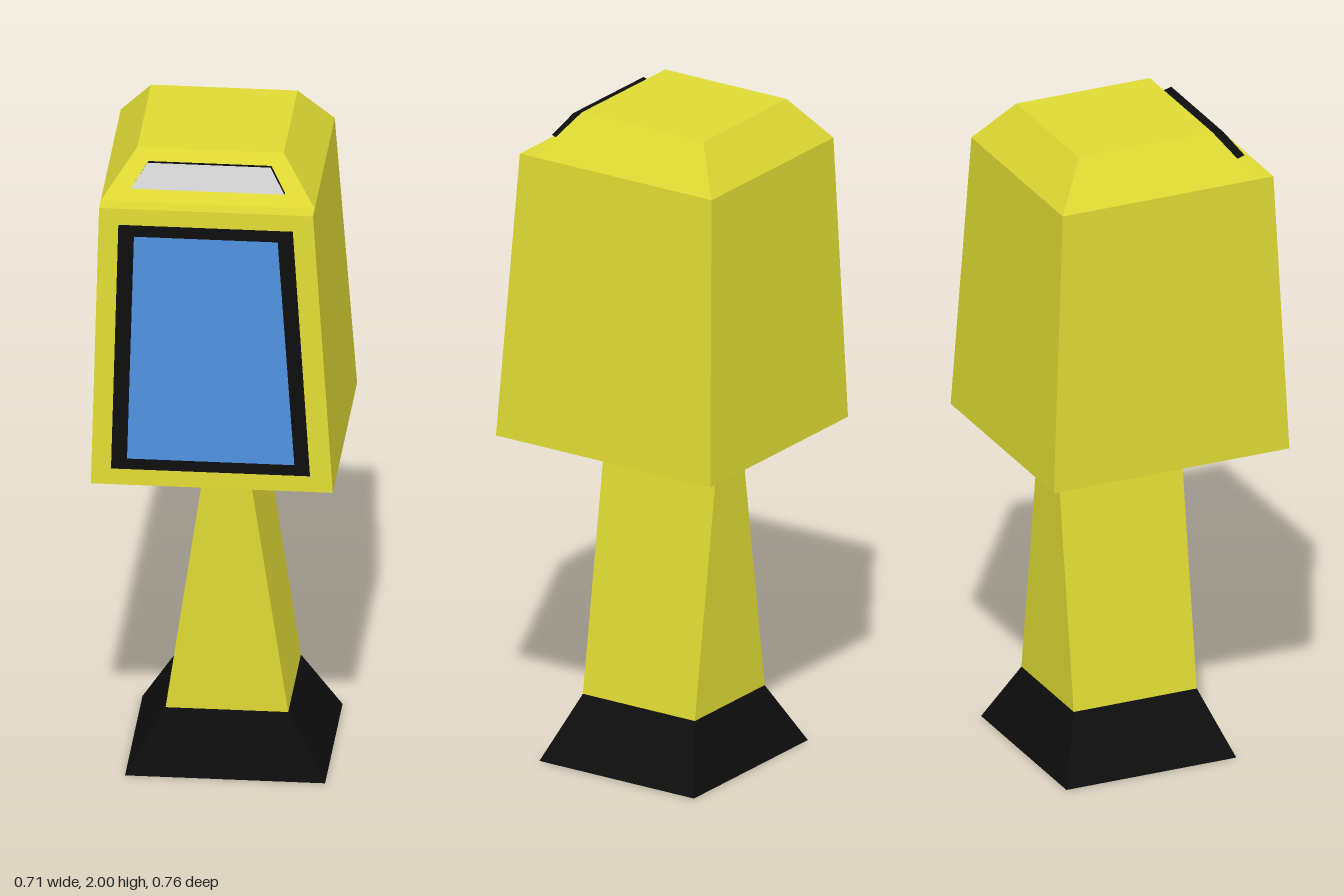
import * as THREE from 'three';

const material = (color) => new THREE.MeshStandardMaterial({ color, flatShading: true });

// Rectangle ring at height y, counter-clockwise seen from above
const ring = (y, x0, x1, z0, z1) => [[x0, y, z1], [x1, y, z1], [x1, y, z0], [x0, y, z0]];

// Flat-faced mesh from four-cornered faces
function quads(name, faces, mat) {
  const pos = faces.flatMap(([a, b, c, d]) => [a, b, c, a, c, d].flat());
  const geo = new THREE.BufferGeometry();
  geo.setAttribute('position', new THREE.Float32BufferAttribute(pos, 3));
  geo.computeVertexNormals();
  const mesh = new THREE.Mesh(geo, mat);
  mesh.name = name;
  return mesh;
}

// Faces of a block lofted between two four-cornered rings
function loft(low, high, { bottom = true, top = true } = {}) {
  const faces = low.map((p, i) => {
    const j = (i + 1) % 4;
    return [p, low[j], high[j], high[i]];
  });
  if (bottom) faces.push([...low].reverse());
  if (top) faces.push(high);
  return faces;
}

export function createModel() {
  const group = new THREE.Group();
  const yellow = material(0xded933);
  const black = material(0x0d0d0d);
  const blue = material(0x4f90e0);
  const grey = material(0xcccccc);

  // Foot with a yellow sole
  const sole = ring(0, -0.267, 0.32, -0.298, 0.25);
  const ankle = ring(0.19, -0.155, 0.205, -0.222, 0.175);
  group.add(quads('foot', loft(sole, ankle, { bottom: false }), black));
  group.add(quads('sole', [[...sole].reverse()], yellow));

  // Tapering post
  const neck = ring(0.91, -0.05, 0.098, -0.222, 0.175);
  group.add(quads('post', loft(ankle, neck), yellow));

  // Head: sloped underside, tapering housing, hipped roof
  const under = ring(1, -0.355, 0.355, -0.38, 0.325);
  group.add(quads('underside', loft(neck, under, { top: false }), yellow));
  const low = ring(1, -0.355, 0.355, -0.38, 0.38);
  const high = ring(1.87, -0.335, 0.293, -0.342, 0.338);
  group.add(quads('housing', loft(low, high), yellow));
  const eaves = ring(1.87, -0.335, 0.293, -0.342, 0.285);
  const crown = ring(2, -0.237, 0.193, -0.244, 0.187);
  group.add(quads('roof', loft(eaves, crown, { bottom: false }), yellow));

  // Screen and its border, laid on the leaning front of the housing
  const onFront = (x, y, lift) => [x, y, 0.38 - (y - 1) * 0.0483 + lift];
  const panel = (name, y0, l0, r0, y1, l1, r1, lift, mat) => group.add(quads(name, [[
    onFront(l0, y0, lift), onFront(r0, y0, lift), onFront(r1, y1, lift), onFront(l1, y1, lift),
  ]], mat));
  panel('screenBorder', 1.05, -0.296, 0.288, 1.82, -0.278, 0.234, 0.0015, black);
  panel('screen', 1.084, -0.249, 0.242, 1.785, -0.232, 0.19, 0.003, blue);

  // Raised sign on the roof's front slope, black sides with a grey face
  const trapezoid = (y0, z0, y1, z1) => [
    [-0.247, y0, z0], [0.204, y0, z0], [0.159, y1, z1], [-0.202, y1, z1],
  ];
  const signBack = trapezoid(1.903, 0.258, 1.968, 0.211);
  const signFront = trapezoid(1.912, 0.286, 1.976, 0.24);
  group.add(quads('signFrame', loft(signBack, signFront, { top: false }), black));
  group.add(quads('signFace', [signFront], grey));

  return group;
}
